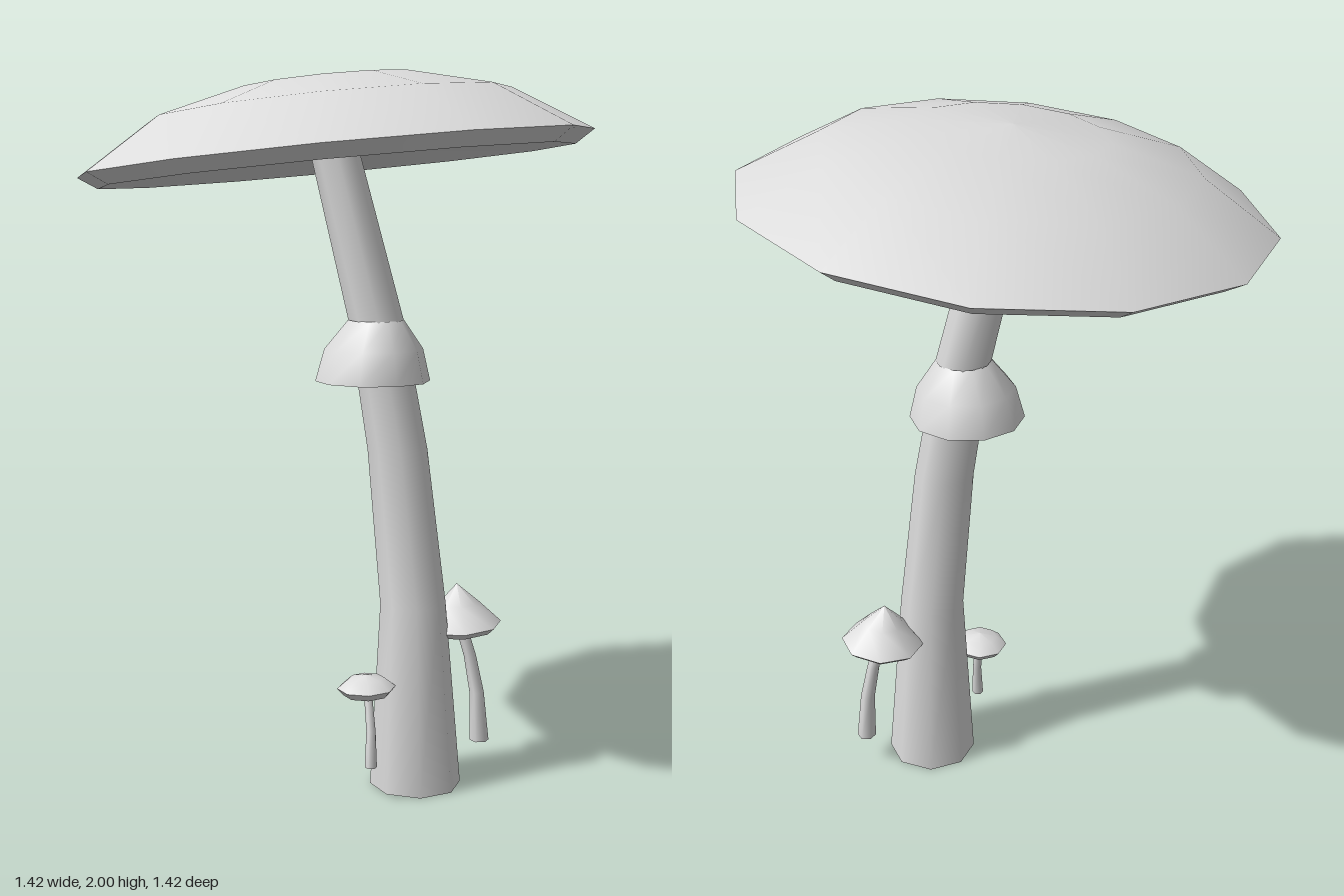
import * as THREE from 'three';

const paleGrey = new THREE.MeshStandardMaterial({ color: 0xdcdcdc, side: THREE.DoubleSide });
paleGrey.name = 'paleGrey';

function addMesh(parent, name, geometry) {
  const mesh = new THREE.Mesh(geometry, paleGrey);
  mesh.name = name;
  parent.add(mesh);
  return mesh;
}

// Open tube through horizontal rings, each given as [x, y, z, radius]
function ringTube(rings, sides, turn = 0) {
  const position = [];
  const index = [];
  rings.forEach(([x, y, z, r], i) => {
    for (let j = 0; j < sides; j++) {
      const a = turn + (j / sides) * Math.PI * 2;
      position.push(x + r * Math.cos(a), y, z + r * Math.sin(a));
      if (i === rings.length - 1) continue;
      const p = i * sides + j;
      const q = i * sides + (j + 1) % sides;
      index.push(p, p + sides, q, q, p + sides, q + sides);
    }
  });
  const geometry = new THREE.BufferGeometry();
  geometry.setAttribute('position', new THREE.Float32BufferAttribute(position, 3));
  geometry.setIndex(index);
  geometry.computeVertexNormals();
  return geometry;
}

// Cap of three turned surfaces that meet in sharp edges; profiles are [radius, height]
function addCap(parent, name, { centre, tilt, turn, sides, top, under }) {
  const cap = new THREE.Group();
  cap.name = name;
  const turned = (profile) => new THREE.LatheGeometry(
    profile.map(([r, h]) => new THREE.Vector2(r, h)), sides, turn);
  addMesh(cap, name + 'Top', turned(top));
  addMesh(cap, name + 'Rim', turned([under[under.length - 1], top[0]]));
  addMesh(cap, name + 'Underside', turned(under));
  cap.position.set(...centre);
  cap.rotation.set(tilt[0], 0, tilt[1]);
  parent.add(cap);
}

export function createModel() {
  const model = new THREE.Group();
  model.name = 'mushroomCluster';

  // Tall mushroom: leaning stem, flared skirt and wide cap
  const tall = new THREE.Group();
  tall.name = 'tallMushroom';
  model.add(tall);
  addMesh(tall, 'tallStem', ringTube([
    [0.23, 0, 0.07, 0.13],
    [0.22, 0.53, 0.072, 0.093],
    [0.175, 0.97, 0.055, 0.084],
    [0.115, 1.33, 0.037, 0.077],
    [0.0, 1.8, 0.008, 0.068],
  ], 8));
  addMesh(tall, 'skirt', ringTube([
    [0.107, 1.16, 0.033, 0.161],
    [0.109, 1.25, 0.035, 0.138],
    [0.115, 1.33, 0.037, 0.078],
  ], 10));
  addCap(tall, 'tallCap', {
    centre: [0, 1.785, 0], tilt: [-0.021, 0.0915], turn: -0.11, sides: 12,
    top: [[0.715, 0], [0.5, 0.132], [0.25, 0.195], [0, 0.213]],
    under: [[0, 0.01], [0.09, 0.0], [0.66, -0.036]],
  });

  // Small mushroom with a pointed cap
  const pointed = new THREE.Group();
  pointed.name = 'pointedMushroom';
  model.add(pointed);
  addMesh(pointed, 'pointedStem', ringTube([
    [0.427, 0.095, -0.007, 0.028],
    [0.418, 0.24, -0.008, 0.021],
    [0.397, 0.35, -0.009, 0.018],
    [0.367, 0.45, -0.01, 0.017],
  ], 6));
  addCap(pointed, 'pointedCap', {
    centre: [0.365, 0.443, -0.012], tilt: [0, 0.07], turn: 0, sides: 8,
    top: [[0.122, 0], [0.06, 0.065], [0, 0.122]],
    under: [[0, 0], [0.1, -0.018]],
  });

  // Smallest mushroom with a flat round cap
  const flat = new THREE.Group();
  flat.name = 'flatMushroom';
  model.add(flat);
  addMesh(flat, 'flatStem', ringTube([
    [0.089, 0.1, 0.212, 0.017],
    [0.09, 0.2, 0.2, 0.013],
    [0.083, 0.315, 0.168, 0.011],
  ], 6));
  addCap(flat, 'flatCap', {
    centre: [0.08, 0.316, 0.165], tilt: [0, 0.03], turn: 0, sides: 8,
    top: [[0.082, 0], [0.05, 0.026], [0, 0.037]],
    under: [[0, -0.008], [0.065, -0.02]],
  });

  return model;
}
